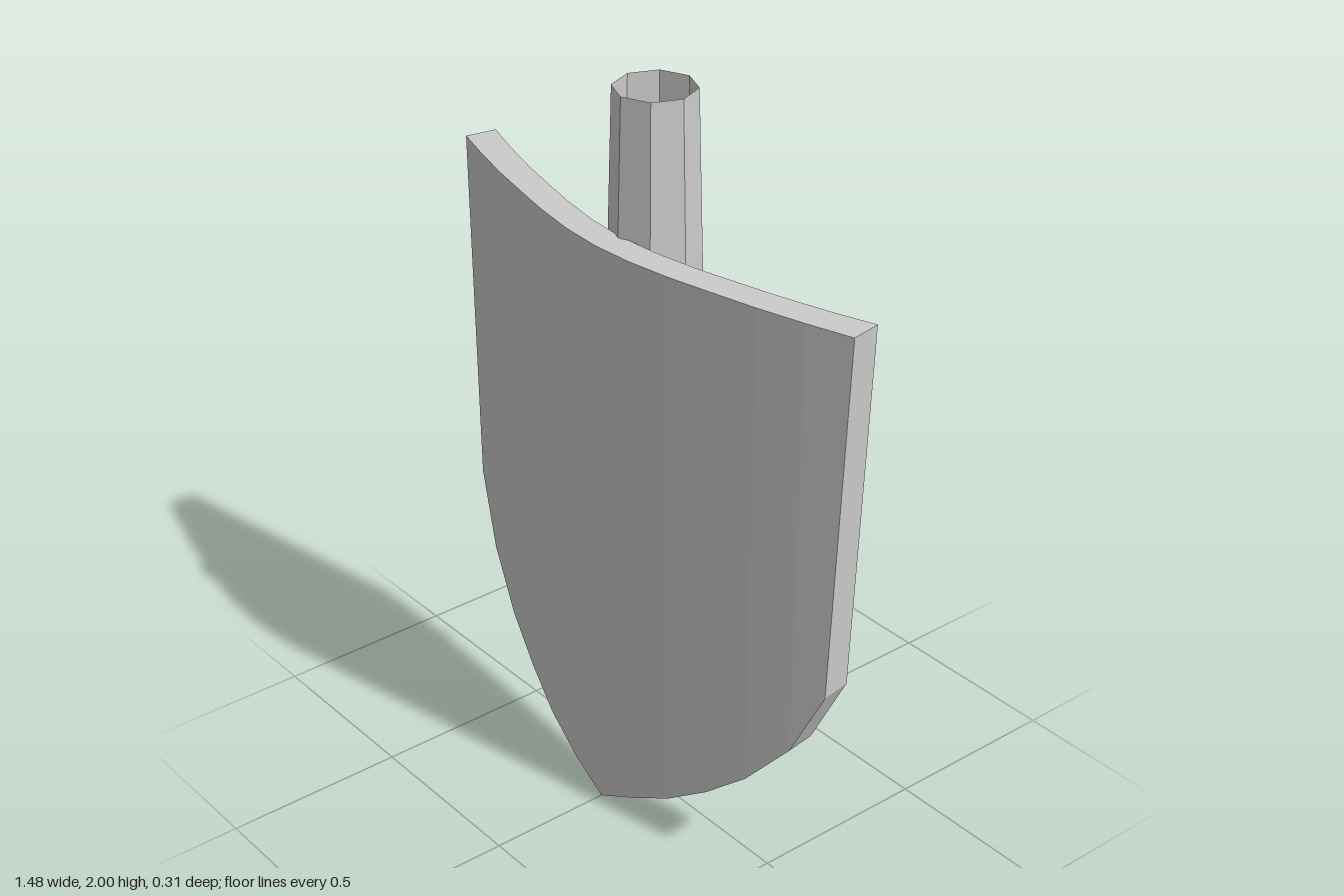
import * as THREE from 'three';

// Half blade, centre to edge: [top x, bottom x, bottom y, front z at top, front z at bottom]
const STATIONS = [
  [0, 0, 0, 0.157, 0.157],
  [0.12, 0.12, 0.06, 0.15, 0.15],
  [0.25, 0.25, 0.125, 0.13, 0.13],
  [0.37, 0.37, 0.205, 0.104, 0.104],
  [0.49, 0.49, 0.305, 0.077, 0.077],
  [0.62, 0.615, 0.45, 0.042, 0.043],
  [0.74, 0.705, 0.645, 0.005, 0.015],
];
const TOP = 1.64;

// Curved blade: a four-cornered section at each station, joined in loops
function bladeGeometry() {
  const mirrored = STATIONS.slice(1).reverse().map(([a, b, ...r]) => [-a, -b, ...r]);
  const columns = [...mirrored, ...STATIONS];
  const positions = [];
  const index = [];
  const back = (x, y, z) => [x * 0.98, y, z - 0.079 - 0.011 * x * x];

  for (const [xt, xb, yb, zt, zb] of columns) {
    positions.push(xt, TOP, zt, ...back(xt, TOP, zt), ...back(xb, yb, zb), xb, yb, zb);
  }
  for (let i = 0; i < columns.length - 1; i++) {
    for (let k = 0; k < 4; k++) {
      const a = i * 4 + k, b = i * 4 + (k + 1) % 4;
      index.push(a, a + 4, b, b, a + 4, b + 4);
    }
  }
  // Side edges
  const e = (columns.length - 1) * 4;
  index.push(0, 1, 2, 0, 2, 3, e, e + 2, e + 1, e, e + 3, e + 2);

  const geometry = new THREE.BufferGeometry();
  geometry.setAttribute('position', new THREE.Float32BufferAttribute(positions, 3));
  geometry.setIndex(index);
  geometry.computeVertexNormals();
  return geometry;
}

export function createModel() {
  const group = new THREE.Group();
  const material = new THREE.MeshStandardMaterial({
    color: 0xcccccc, flatShading: true, side: THREE.DoubleSide,
  });

  const blade = new THREE.Mesh(bladeGeometry(), material);
  blade.name = 'blade';

  // Hollow eight-sided socket, open at the top, tapering to a closed foot
  const profile = [[0, 1.02], [0.052, 1.02], [0.13, 1.1], [0.105, 2]]
    .map(([r, y]) => new THREE.Vector2(r, y));
  const socket = new THREE.Mesh(new THREE.LatheGeometry(profile, 8), material);
  socket.name = 'handleSocket';
  socket.position.z = -0.027;

  group.add(blade, socket);
  return group;
}
